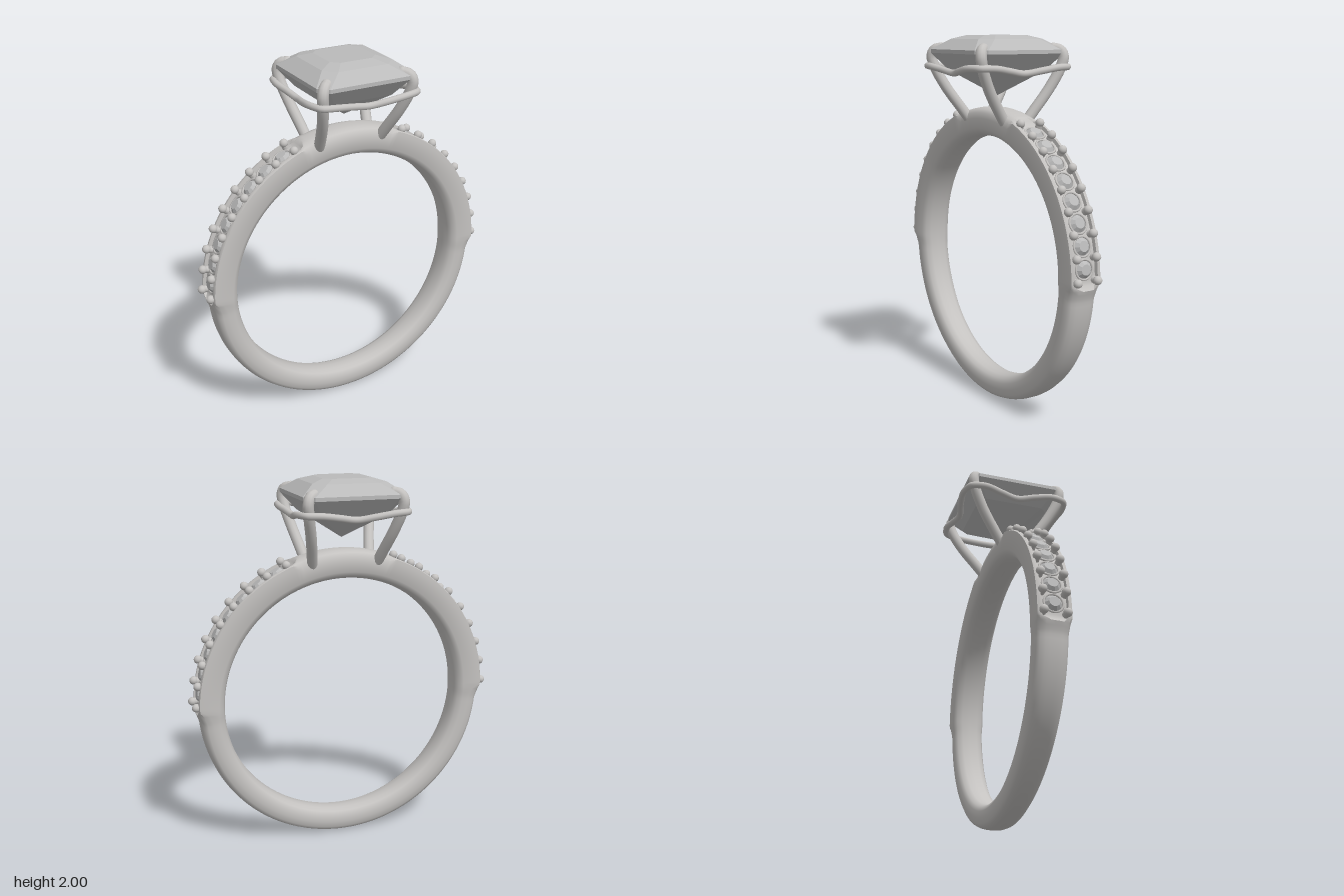
import * as THREE from 'three';
import { toCreasedNormals } from 'three/addons/utils/BufferGeometryUtils.js';

const CY = 0.8; // height of the band's centre
const rad = THREE.MathUtils.degToRad;
const { lerp, smoothstep } = THREE.MathUtils;
const metal = new THREE.MeshStandardMaterial({ color: 0xc4c2c0 });
metal.name = 'metal';
const stone = new THREE.MeshStandardMaterial({ color: 0xbababa });
stone.name = 'stone';

function add(parent, name, geometry, material) {
  const mesh = new THREE.Mesh(geometry, material);
  mesh.name = name;
  parent.add(mesh);
  return mesh;
}

// Skin closed cross-sections, each a list of [x, y, z]
function loft(rings) {
  const n = rings[0].length, index = [];
  for (let i = 0; i < rings.length - 1; i++) {
    for (let j = 0; j < n; j++) {
      const a = i * n + j, b = i * n + (j + 1) % n;
      index.push(a, b, a + n, b, b + n, a + n);
    }
  }
  const g = new THREE.BufferGeometry();
  g.setAttribute('position', new THREE.Float32BufferAttribute(rings.flat(2), 3));
  g.setIndex(index);
  return g;
}

// Half section of the band [radius, z]; blends domed and channelled outer faces
function bandSection(elevation) {
  const pave = smoothstep(elevation, -1.5, 0.5) * (1 - smoothstep(elevation, 69, 72));
  const up = smoothstep(elevation, -6, 0);
  const w = lerp(lerp(0.075, 0.085, smoothstep(elevation, -90, 0)), 0.09, up);
  const ro = lerp(lerp(0.8, 0.82, up), 0.812, pave);
  const inner = [[0.665, 0], [0.667, 0.5 * w], [0.68, 0.82 * w], [0.705, w]];
  const domed = [[ro - 0.06, w], [ro - 0.03, 0.95 * w], [ro - 0.012, 0.8 * w],
    [ro - 0.003, 0.5 * w], [ro, 0.25 * w], [ro, 0]];
  const channel = [[ro - 0.02, w], [ro - 0.004, 0.98 * w], [ro, 0.9 * w],
    [ro, 0.77 * w], [ro - 0.02, 0.74 * w], [ro - 0.02, 0]];
  const outer = domed.map((p, i) => [lerp(p[0], channel[i][0], pave), lerp(p[1], channel[i][1], pave)]);
  const half = [...inner, ...outer];
  return [...half, ...half.slice(1, -1).reverse().map(([r, z]) => [r, -z])];
}

function bandGeometry() {
  const rings = [], steps = 240;
  for (let i = 0; i <= steps; i++) {
    const a = i / steps * Math.PI * 2;
    const elevation = Math.asin(Math.max(-1, Math.min(1, Math.sin(a)))) * 180 / Math.PI;
    rings.push(bandSection(elevation).map(([r, z]) => [r * Math.cos(a), CY + r * Math.sin(a), z]));
  }
  return toCreasedNormals(loft(rings), 0.65);
}

// Step-cut stone from square layers with cut corners [half width, corner cut, y]
function stoneGeometry() {
  const layers = [[0, 0, 1.68], [0.2, 0.035, 1.815], [0.275, 0.05, 1.905], [0.275, 0.05, 1.925],
    [0.2, 0.06, 1.98], [0.13, 0.04, 2], [0, 0, 2]];
  const rings = layers.map(([h, c, y]) => {
    const k = h - c;
    return [[h, k], [h, -k], [k, -h], [-k, -h], [-h, -k], [-h, k], [-k, h], [k, h]]
      .map(([x, z]) => [x, y, z]);
  });
  const g = loft(rings).toNonIndexed();
  g.computeVertexNormals();
  return g;
}

export function createModel() {
  const ring = new THREE.Group();
  ring.name = 'ring';
  add(ring, 'band', bandGeometry(), metal);
  add(ring, 'centreStone', stoneGeometry(), stone);

  // Four claws curving up from the shoulders and over the stone's corners
  const clawPath = [[0.18, 1.54, 0.06], [0.195, 1.61, 0.11], [0.222, 1.72, 0.185],
    [0.248, 1.83, 0.24], [0.255, 1.89, 0.254], [0.242, 1.922, 0.243], [0.215, 1.932, 0.217]];
  for (const sx of [-1, 1]) {
    for (const sz of [-1, 1]) {
      const claw = new THREE.Group();
      claw.name = 'claw';
      ring.add(claw);
      const pts = clawPath.map(([x, y, z]) => new THREE.Vector3(x * sx, y, z * sz));
      add(claw, 'clawWire', new THREE.TubeGeometry(new THREE.CatmullRomCurve3(pts), 32, 0.029, 12), metal);
      add(claw, 'clawTip', new THREE.SphereGeometry(0.029, 14, 10), metal).position.copy(pts[6]);
      add(claw, 'clawFoot', new THREE.SphereGeometry(0.029, 14, 10), metal).position.copy(pts[0]);
    }
  }

  // Gallery wire looping round the claws, dipping in the middle of each side
  const side = [[0.265, 1.805, 0], [0.277, 1.82, 0.1], [0.292, 1.834, 0.19],
    [0.277, 1.836, 0.262], [0.262, 1.836, 0.277], [0.19, 1.834, 0.296], [0.1, 1.82, 0.286]];
  const loop = [];
  for (let q = 0; q < 4; q++) {
    for (const p of side) {
      loop.push(new THREE.Vector3(...p).applyAxisAngle(new THREE.Vector3(0, 1, 0), -q * Math.PI / 2));
    }
  }
  add(ring, 'galleryWire', new THREE.TubeGeometry(new THREE.CatmullRomCurve3(loop, true), 160, 0.018, 10, true), metal);

  // Small stones and their gripping beads along both shoulders
  const smallStone = new THREE.CylinderGeometry(0.028, 0.047, 0.02, 10).toNonIndexed();
  smallStone.computeVertexNormals();
  const seat = new THREE.TorusGeometry(0.05, 0.006, 6, 24).rotateX(Math.PI / 2);
  const bead = new THREE.SphereGeometry(0.023, 14, 10);
  const post = new THREE.CylinderGeometry(0.018, 0.02, 0.035, 10);
  for (const sx of [-1, 1]) {
    const shoulder = new THREE.Group();
    shoulder.name = sx > 0 ? 'leftShoulder' : 'rightShoulder';
    ring.add(shoulder);
    const place = (name, geometry, material, degrees, r, z) => {
      const a = rad(degrees);
      const m = add(shoulder, name, geometry, material);
      m.position.set(sx * r * Math.cos(a), CY + r * Math.sin(a), z);
      m.rotation.z = sx * (a - Math.PI / 2);
    };
    for (let i = 0; i < 9; i++) {
      const beadAngle = 1.8 + i * 8.15;
      for (const z of [-0.06, 0.06]) {
        place('bead', bead, metal, beadAngle, 0.822, z);
        place('beadPost', post, metal, beadAngle, 0.803, z);
      }
      if (i < 8) {
        place('smallStone', smallStone, stone, beadAngle + 4.08, 0.802, 0);
        place('stoneSeat', seat, metal, beadAngle + 4.08, 0.795, 0);
      }
    }
  }
  return ring;
}
